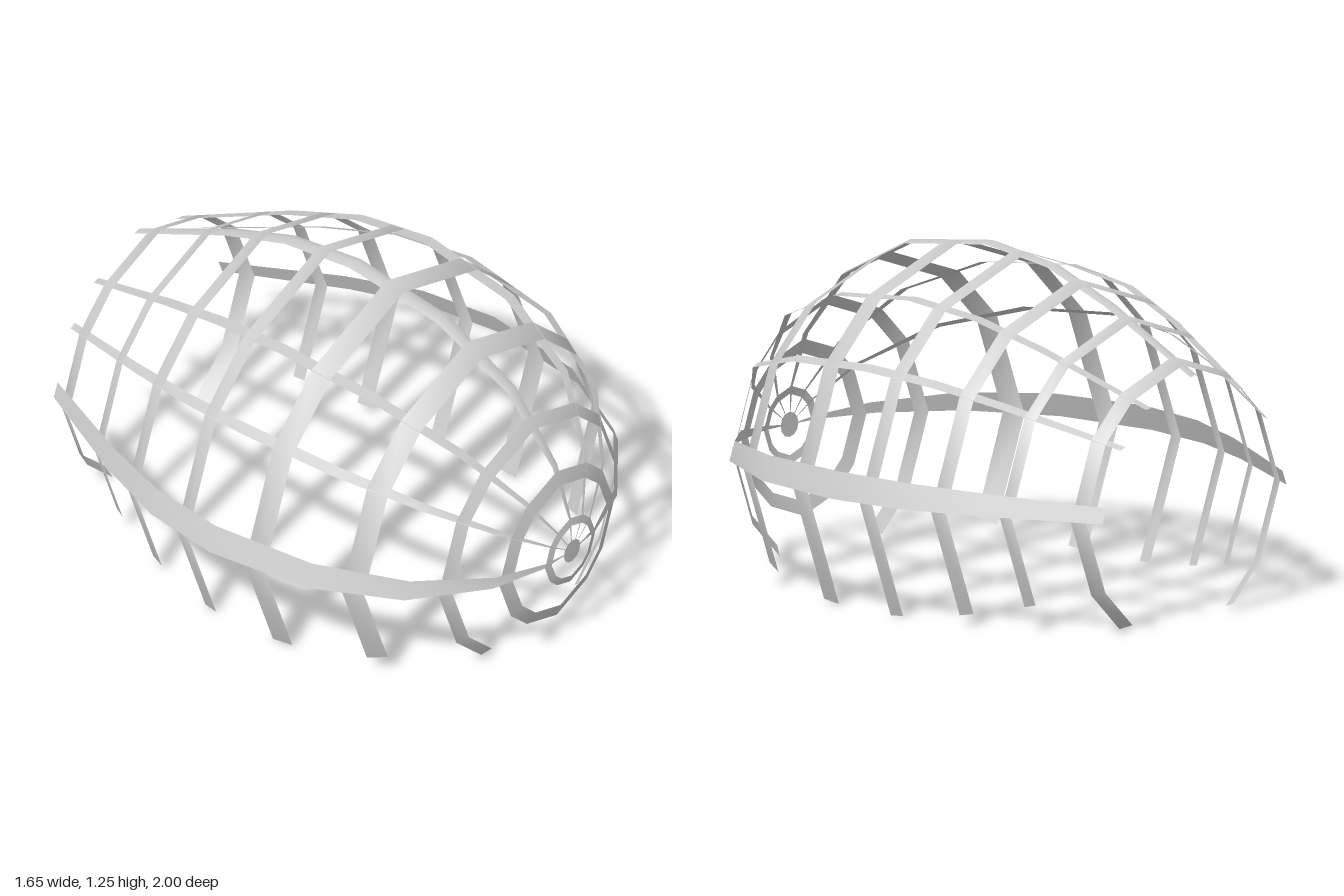
import * as THREE from 'three';

const AXIS_Y = 0.435;

// Outline along the axis: [z, radius], nose to open rear
const PROFILE = [[1, 0], [0.991, 0.14], [0.92, 0.35], [0.72, 0.6], [0.4, 0.765], [0, 0.82],
  [-0.3, 0.78], [-0.58, 0.677], [-1, 0.473]];

// Twelve-sided unit cross-section, built from one mirrored quarter
const QUARTER = [[1, 0], [0.8, 0.54], [0.522, 0.815], [0, 1]];
const SECTION = [];
for (let i = 0; i < 12; i++) {
  const q = i % 6, [x, y] = QUARTER[q <= 3 ? q : 6 - q];
  const upper = i < 6 ? 1 : -1;
  SECTION.push([(q <= 3 ? x : -x) * upper, y * upper]);
}

// Cross-section corners from one number to another, counter-clockwise
function corners(from, to) {
  return Array.from({ length: to - from + 1 }, (_, i) => SECTION[(from + i + 12) % 12]);
}

function radiusAt(z) {
  const i = PROFILE.findIndex((p) => p[0] <= z);
  const [z0, r0] = PROFILE[i - 1], [z1, r1] = PROFILE[i];
  return r0 + (r1 - r0) * (z0 - z) / (z0 - z1);
}

// Strip of the shell: rows [z, radius] along the axis, unit points around it
function shellPatch(name, rows, points, material) {
  const positions = [], index = [], n = points.length;
  for (const [z, r] of rows) {
    for (const [x, y] of points) positions.push(x * r, AXIS_Y + y * r, z);
  }
  for (let i = 0; i < rows.length - 1; i++) {
    for (let j = 0; j < n - 1; j++) {
      const a = i * n + j, b = a + n;
      index.push(a, b, a + 1, a + 1, b, b + 1);
    }
  }
  const geometry = new THREE.BufferGeometry();
  geometry.setAttribute('position', new THREE.Float32BufferAttribute(positions, 3));
  geometry.setIndex(index);
  geometry.computeVertexNormals();
  const mesh = new THREE.Mesh(geometry, material);
  mesh.name = name;
  return mesh;
}

export function createModel() {
  const model = new THREE.Group();
  model.name = 'ribbedCage';
  const material = new THREE.MeshStandardMaterial({ color: 0xcccccc, side: THREE.DoubleSide });

  // Ridge folded over the top
  model.add(shellPatch('topRidge', PROFILE, [[0.04, 0.985], [0, 1], [-0.04, 0.985]], material));

  // Lengthwise strips on each side: upright rail, then two nearly level ribs
  const strips = {
    SideRail: [[1.006, 0], [0.96, 0.116]],
    LowerRib: [[0.805, 0.538], [0.756, 0.561]],
    UpperRib: [[0.53, 0.811], [0.47, 0.818]],
  };
  for (const [name, points] of Object.entries(strips)) {
    const mirrored = points.map(([x, y]) => [-x, y]).reverse();
    model.add(shellPatch('left' + name, PROFILE, points, material));
    model.add(shellPatch('right' + name, PROFILE, mirrored, material));
  }

  // Nose disc and the closed ring around it
  const nose = new THREE.Mesh(new THREE.CircleGeometry(0.046, 12), material);
  nose.name = 'noseDisc';
  nose.position.set(0, AXIS_Y, 1);
  model.add(nose);
  model.add(shellPatch('innerNoseRing', [[0.998, 0.112], [0.991, 0.142]], corners(0, 12), material));

  // Hoops: front edge, rear edge, first and last corner
  const hoops = [
    [0.947, 0.929, 0, 12],
    [0.828, 0.796, -2, 8],
    [0.587, 0.515, -1, 7],
    [0.226, 0.144, -1, 7],
    [-0.115, -0.17, -1, 7],
    [-0.407, -0.46, -1, 7],
    [-0.652, -0.691, -1, 7],
    [-0.892, -0.943, -2, 8],
  ];
  hoops.forEach(([z0, z1, from, to], i) => {
    const rows = [z0, z1].map((z) => [z, radiusAt(z)]);
    model.add(shellPatch('hoop' + (i + 1), rows, corners(from, to), material));
  });

  return model;
}
